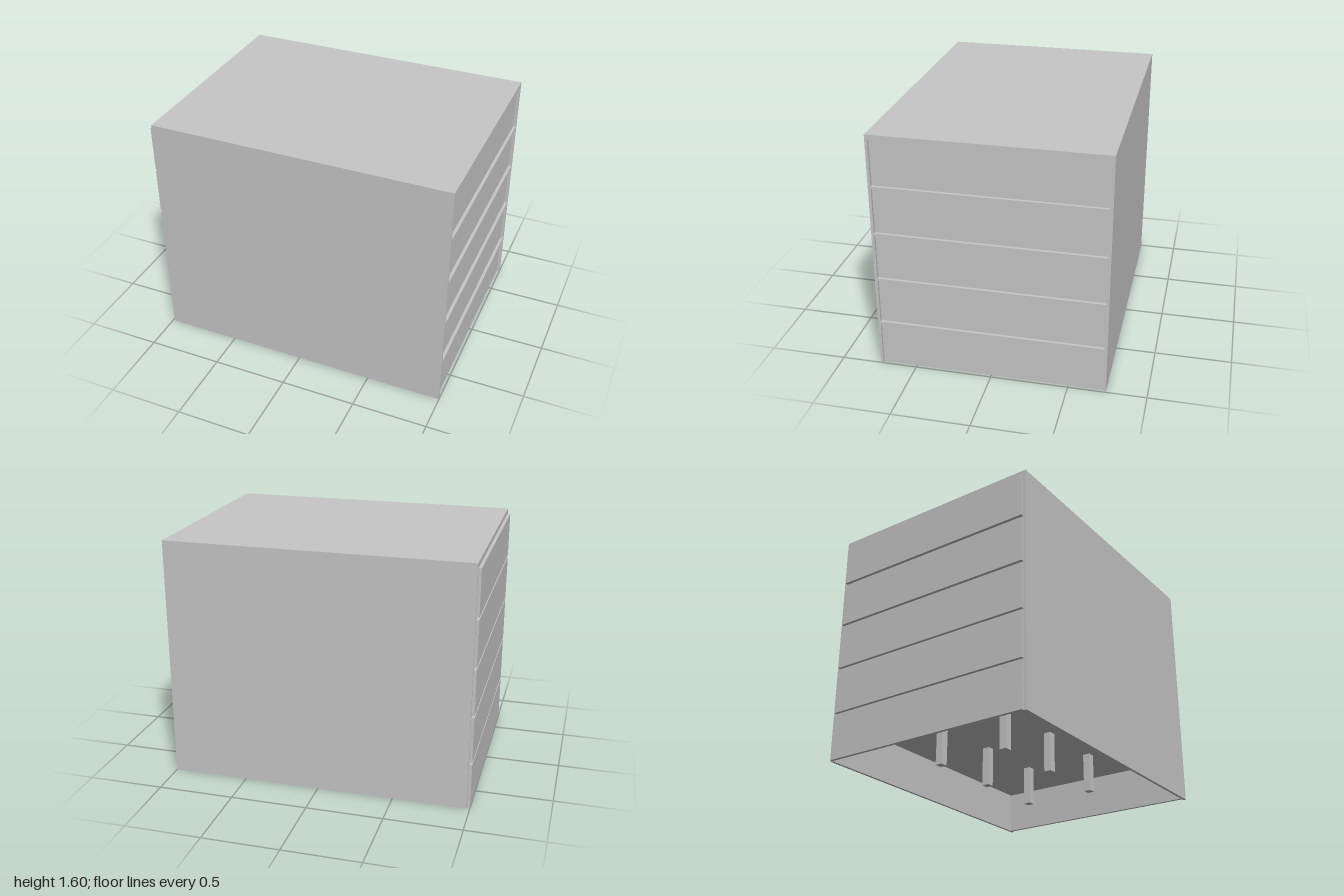
import * as THREE from 'three';

export function createModel() {
  const model = new THREE.Group();
  model.name = 'drawerCabinet';
  const grey = new THREE.MeshStandardMaterial({ color: 0xc6c6c6 });
  grey.name = 'light grey';

  const halfDepth = 0.742, slot = 0.724, height = 1.602;
  const rows = 5, pitch = 0.317, rowHeight = 0.3, ceiling = 0.285;

  const add = (name, geometry, parent = model) => {
    const mesh = new THREE.Mesh(geometry, grey);
    mesh.name = name;
    parent.add(mesh);
    return mesh;
  };
  // box given by its lower and upper corners
  const box = (name, [x0, y0, z0], [x1, y1, z1], parent) =>
    add(name, new THREE.BoxGeometry(x1 - x0, y1 - y0, z1 - z0), parent)
      .position.set((x0 + x1) / 2, (y0 + y1) / 2, (z0 + z1) / 2);

  // carcass: outline open at the bottom, with a slot for each upper drawer
  const outline = new THREE.Shape([
    [-halfDepth, 0], [-slot, 0], [-slot, rowHeight], [slot, rowHeight],
    [slot, 0], [halfDepth, 0], [halfDepth, height], [-halfDepth, height],
  ].map(([x, y]) => new THREE.Vector2(x, y)));
  for (let i = 1; i < rows; i++) {
    const y = i * pitch;
    outline.holes.push(new THREE.Path([
      [-slot, y], [-slot, y + rowHeight], [slot, y + rowHeight], [slot, y],
    ].map(([a, b]) => new THREE.Vector2(a, b))));
  }
  const carcass = new THREE.ExtrudeGeometry(outline, { depth: 1.98, bevelEnabled: false });
  carcass.rotateY(Math.PI / 2).translate(-0.98, 0, 0);
  add('carcass', carcass);

  // upper drawers: proud at one end, recessed at the other
  for (let i = 1; i < rows; i++) {
    box('drawer', [-1, i * pitch, -slot], [0.98, i * pitch + rowHeight, slot]);
  }

  // bottom drawer: hollow underneath
  const bottom = new THREE.Group();
  bottom.name = 'bottomDrawer';
  model.add(bottom);
  box('drawerFloor', [-0.98, ceiling, -slot], [0.96, rowHeight, slot], bottom);
  box('drawerFront', [-1, 0, -slot], [-0.98, rowHeight, slot], bottom);
  box('drawerBack', [0.96, 0, -slot], [0.98, rowHeight, slot], bottom);

  // six legs in the hollow base
  for (const x of [-0.49, 0.01, 0.51]) {
    for (const z of [-0.25, 0.25]) {
      box('leg', [x - 0.025, 0.02, z - 0.025], [x + 0.025, ceiling, z + 0.025]);
    }
  }
  return model;
}
